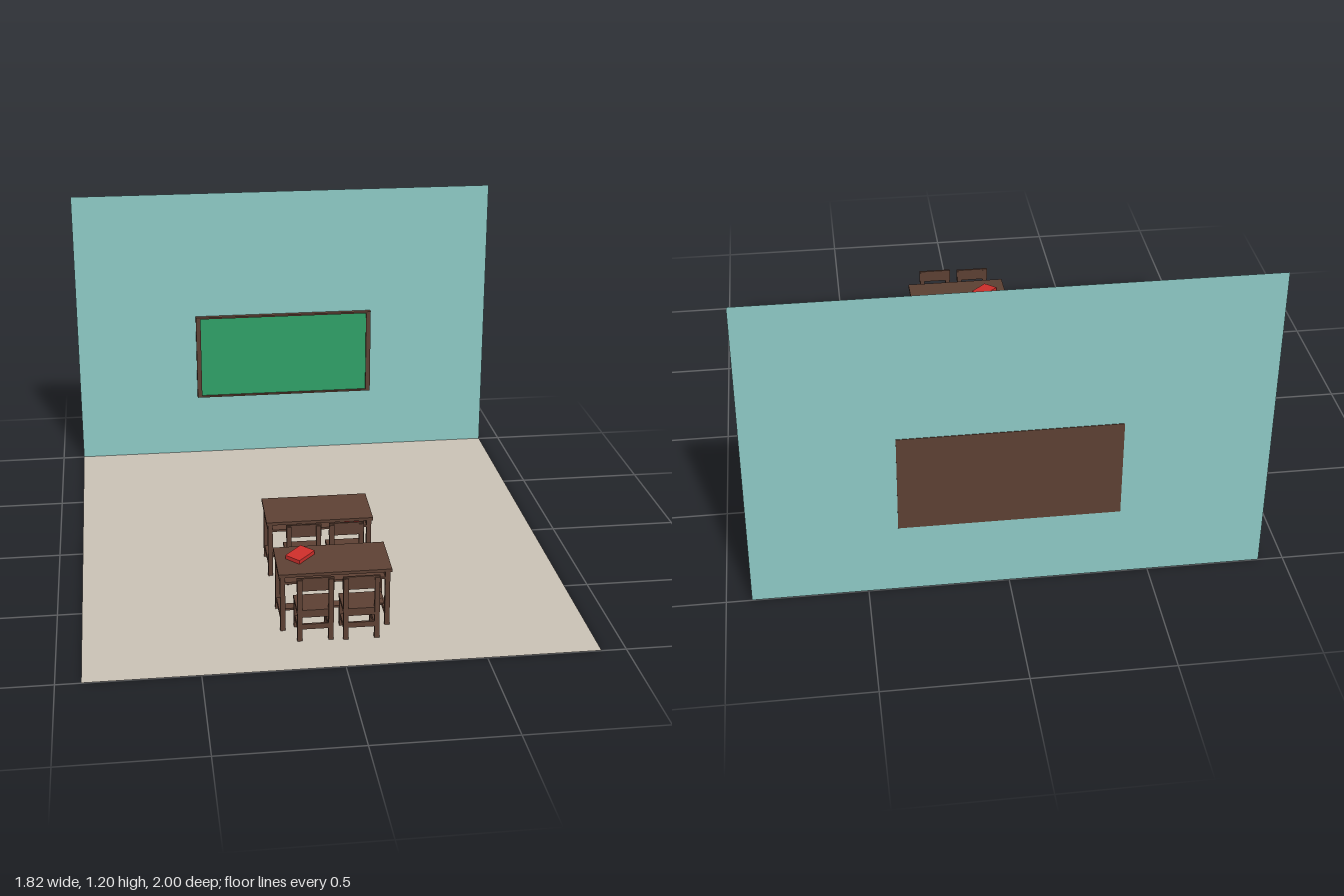
import * as THREE from 'three';

const mat = (name, color, extra = {}) => Object.assign(new THREE.MeshStandardMaterial({ color, ...extra }), { name });

export function createModel() {
  const wood = mat('brown wood', 0x5c4033);
  const green = mat('board green', 0x2e9f66);
  const teal = mat('wall teal', 0x8cc8c4, { side: THREE.DoubleSide });
  const beige = mat('floor beige', 0xc9c1b4, { side: THREE.DoubleSide });
  const red = mat('book red', 0xcc2e2a);

  const group = (name, parent) => {
    const g = new THREE.Group();
    g.name = name;
    parent.add(g);
    return g;
  };
  // Box given by its minimum and maximum corners
  const box = (parent, name, material, [x0, y0, z0], [x1, y1, z1]) => {
    const m = new THREE.Mesh(new THREE.BoxGeometry(x1 - x0, y1 - y0, z1 - z0), material);
    m.position.set((x0 + x1) / 2, (y0 + y1) / 2, (z0 + z1) / 2);
    m.name = name;
    parent.add(m);
    return m;
  };

  const room = new THREE.Group();
  room.name = 'classroom';

  // Floor and back wall
  const floor = new THREE.Mesh(new THREE.PlaneGeometry(1.82, 2), beige);
  floor.name = 'floor';
  floor.rotation.x = -Math.PI / 2;
  room.add(floor);
  const wall = new THREE.Mesh(new THREE.PlaneGeometry(1.82, 1.2), teal);
  wall.name = 'wall';
  wall.position.set(0, 0.6, -1);
  room.add(wall);

  // Chalkboard with raised frame
  const board = group('chalkboard', room);
  box(board, 'boardBacking', wood, [-0.39, 0.27, -1.002], [0.39, 0.645, -0.99]);
  box(board, 'writingSurface', green, [-0.37, 0.277, -0.99], [0.37, 0.638, -0.986]);
  for (const s of [-1, 1]) {
    box(board, 'frameSide', wood, [s * 0.38 - 0.01, 0.27, -0.99], [s * 0.38 + 0.01, 0.645, -0.977]);
    const y = s < 0 ? 0.27 : 0.638;
    box(board, 'frameRail', wood, [-0.37, y, -0.99], [0.37, y + 0.007, -0.977]);
  }

  const slope = 0.075;

  // Desk: back edge at local z = 0, front edge at z = 0.195
  const makeDesk = (z) => {
    const desk = group('desk', room);
    desk.position.z = z;
    const top = box(desk, 'deskTop', wood, [-0.205, 0.222, 0], [0.205, 0.234, 0.196]);
    top.rotation.x = slope;
    box(desk, 'shelf', wood, [-0.195, 0.185, 0.008], [0.195, 0.193, 0.19]);
    box(desk, 'backPanel', wood, [-0.185, 0.125, 0.006], [0.185, 0.23, 0.014]);
    box(desk, 'footRest', wood, [-0.19, 0.043, 0.085], [0.19, 0.052, 0.115]).rotation.x = 0.2;
    for (const s of [-1, 1]) {
      const x = s * 0.19;
      for (const lz of [0.004, 0.174]) {
        box(desk, 'deskLeg', wood, [x - 0.009, -0.001, lz], [x + 0.009, 0.19, lz + 0.017]);
      }
      box(desk, 'sideRail', wood, [x - 0.006, 0.03, 0.01], [x + 0.006, 0.047, 0.185]);
      // Cubby side follows the sloping top
      const side = box(desk, 'cubbySide', wood, [x - 0.009, 0.185, 0.003], [x + 0.009, 0.228, 0.192]);
      const p = side.geometry.attributes.position;
      for (let i = 0; i < p.count; i++) if (p.getY(i) > 0) p.setY(i, p.getY(i) - slope * p.getZ(i));
      side.geometry.computeVertexNormals();
    }
    return desk;
  };

  // Chair: seat front at local z = 0, backrest at z = 0.125
  const makeChair = (x, z) => {
    const chair = group('chair', room);
    chair.position.set(x, 0, z);
    box(chair, 'seat', wood, [-0.066, 0.108, 0], [0.066, 0.121, 0.122]);
    box(chair, 'backrest', wood, [-0.067, 0.195, 0.112], [0.067, 0.245, 0.12]);
    for (const s of [-1, 1]) {
      const lx = s * 0.056;
      box(chair, 'backPost', wood, [lx - 0.009, -0.001, 0.11], [lx + 0.009, 0.24, 0.125]);
      box(chair, 'frontLeg', wood, [lx - 0.009, -0.001, 0.003], [lx + 0.009, 0.11, 0.019]);
      box(chair, 'sideApron', wood, [lx - 0.006, 0.095, 0.01], [lx + 0.006, 0.11, 0.118]);
      box(chair, 'sideStretcher', wood, [lx - 0.006, 0.03, 0.01], [lx + 0.006, 0.047, 0.118]);
    }
    for (const rz of [0.006, 0.112]) {
      box(chair, 'crossApron', wood, [-0.056, 0.092, rz], [0.056, 0.109, rz + 0.01]);
    }
    box(chair, 'backStretcher', wood, [-0.056, 0.045, 0.113], [0.056, 0.065, 0.122]);
  };

  const frontDesk = makeDesk(0.53);
  const rearDesk = makeDesk(0.09);
  makeChair(-0.082, 0.68);
  makeChair(0.082, 0.687);
  makeChair(-0.071, 0.24);
  makeChair(0.092, 0.24);

  // Book lying askew on the front desk, following its slope
  const tilt = group('bookOnDesk', frontDesk);
  tilt.position.set(-0.114, 0.2365, 0.075);
  tilt.rotation.x = slope;
  box(tilt, 'book', red, [-0.032, 0, -0.046], [0.032, 0.015, 0.046]).rotation.y = -0.76;

  // Book stored in the rear desk's cubby
  box(rearDesk, 'bookInCubby', red, [0.1, 0.193, 0.09], [0.165, 0.207, 0.182]);

  return room;
}
